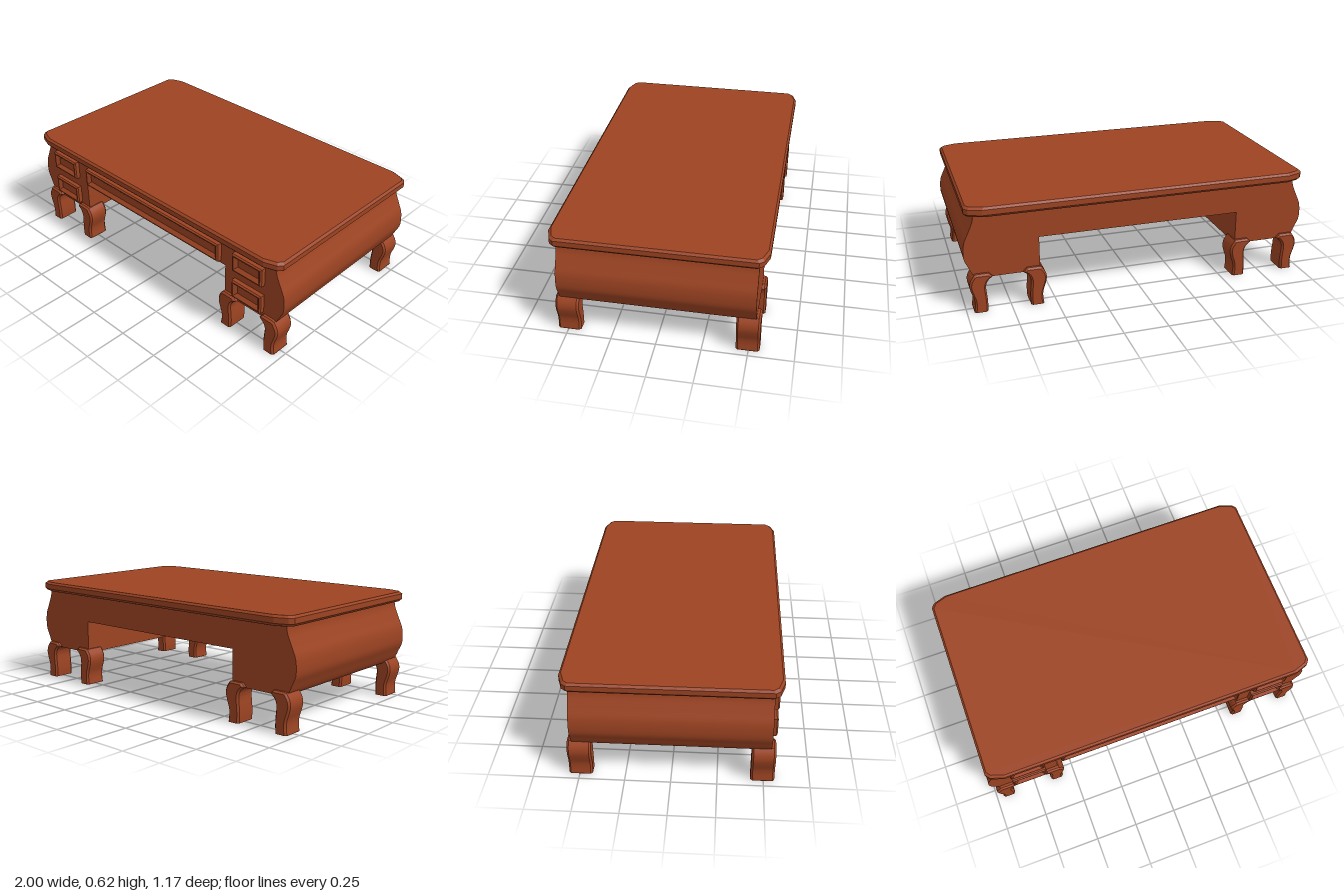
import * as THREE from 'three';
import { toCreasedNormals } from 'three/addons/utils/BufferGeometryUtils.js';

const wood = new THREE.MeshStandardMaterial({ color: 0x9c4322 });
wood.name = 'reddish wood';

// Skin a stack of counter-clockwise rings (seen from the last ring) and cap both ends.
function loft(rings) {
  const pos = [];
  const tri = (a, b, c) => pos.push(...a, ...b, ...c);
  const n = rings[0].length;
  for (let r = 0; r < rings.length - 1; r++) {
    const a = rings[r], b = rings[r + 1];
    for (let i = 0; i < n; i++) {
      const j = (i + 1) % n;
      tri(a[i], a[j], b[j]);
      tri(a[i], b[j], b[i]);
    }
  }
  const first = rings[0], last = rings[rings.length - 1];
  for (let i = 1; i < n - 1; i++) {
    tri(last[0], last[i], last[i + 1]);
    tri(first[0], first[i + 1], first[i]);
  }
  const geo = new THREE.BufferGeometry();
  geo.setAttribute('position', new THREE.Float32BufferAttribute(pos, 3));
  geo.computeVertexNormals();
  return geo;
}

function addPart(group, name, geo, x = 0, y = 0, z = 0) {
  const mesh = new THREE.Mesh(geo, wood);
  mesh.name = name;
  mesh.position.set(x, y, z);
  group.add(mesh);
}

const vectors = (pts) => pts.map(([x, y]) => new THREE.Vector2(x, y));

// Moulded top with clipped corners
function topGeometry() {
  const corner = [[0.89, 0.585], [0.963, 0.56], [0.983, 0.535]];
  const reversed = [...corner].reverse();
  const outline = [
    ...corner,
    ...reversed.map(([x, z]) => [x, -z]),
    ...corner.map(([x, z]) => [-x, -z]),
    ...reversed.map(([x, z]) => [-x, z]),
  ];
  const profile = [[0.035, 0.556], [0.012, 0.562], [0, 0.576], [0, 0.606], [0.012, 0.618]];
  return loft(profile.map(([inset, y]) =>
    outline.map(([x, z]) => [x * (1 - inset / 0.983), y, z * (1 - inset / 0.585)])));
}

// Bombe body: bulging sides and a central kneehole
function bodyGeometry() {
  const side = [[0.935, 0.56], [0.942, 0.52], [0.968, 0.46], [0.993, 0.4],
    [0.997, 0.32], [0.975, 0.265], [0.952, 0.218], [0.93, 0.198]];
  const curve = new THREE.SplineCurve(vectors(side)).getPoints(28);
  const right = [...curve, ...vectors([[0.585, 0.198], [0.585, 0.395]])];
  const left = right.map((p) => new THREE.Vector2(-p.x, p.y)).reverse();
  // The outline runs clockwise; the extrusion turns it round itself
  const geo = new THREE.ExtrudeGeometry(new THREE.Shape([...right, ...left]),
    { depth: 1.07, bevelEnabled: false });
  geo.translate(0, 0, -0.535);
  return toCreasedNormals(geo, 0.5);
}

// Curved leg, bulging towards +x, with bevelled edges and a flat foot
function legGeometry() {
  const outer = [[0.96, 0], [0.954, 0.035], [0.956, 0.075], [0.969, 0.115],
    [0.978, 0.155], [0.971, 0.19], [0.95, 0.222]];
  const inner = [[0.85, 0.204], [0.874, 0.185], [0.887, 0.16], [0.889, 0.13],
    [0.885, 0.09], [0.883, 0.045], [0.885, 0]];
  const shape = new THREE.Shape([
    ...new THREE.SplineCurve(vectors(outer)).getPoints(18),
    ...vectors([[0.935, 0.225], [0.87, 0.225]]),
    ...new THREE.SplineCurve(vectors(inner)).getPoints(18),
  ]);
  const geo = new THREE.ExtrudeGeometry(shape, {
    depth: 0.108, bevelThickness: 0.011, bevelSize: 0.01, bevelOffset: -0.01, bevelSegments: 1,
  });
  geo.translate(-0.92, 0, -0.054);
  const p = geo.attributes.position;
  for (let i = 0; i < p.count; i++) if (p.getY(i) < 0.0105) p.setY(i, 0);
  return toCreasedNormals(geo, 0.5);
}

// Drawer front with a raised rim and a sunken panel
function drawerGeometry(w, h) {
  const profile = [[0, -0.01], [0, 0.024], [0.007, 0.032], [0.013, 0.032], [0.032, 0.014]];
  return loft(profile.map(([inset, z]) => {
    const x = w / 2 - inset, y = h / 2 - inset;
    return [[-x, -y, z], [x, -y, z], [x, y, z], [-x, y, z]];
  }));
}

export function createModel() {
  const desk = new THREE.Group();
  desk.name = 'desk';

  addPart(desk, 'tabletop', topGeometry());
  addPart(desk, 'body', bodyGeometry());

  // Four pairs of legs, each pair splayed about its pedestal
  const leg = legGeometry();
  const turnedLeg = leg.clone().rotateY(Math.PI);
  for (const s of [-1, 1]) {
    for (const z of [-0.495, 0.495]) {
      addPart(desk, 'outerLeg', s > 0 ? leg : turnedLeg, s * 0.92, 0, z);
      addPart(desk, 'innerLeg', s > 0 ? turnedLeg : leg, s * 0.61, 0, z);
    }
  }

  // Drawers
  const small = drawerGeometry(0.208, 0.112);
  for (const s of [-1, 1]) {
    addPart(desk, 'upperDrawer', small, s * 0.76, 0.47, 0.535);
    addPart(desk, 'lowerDrawer', small, s * 0.76, 0.293, 0.535);
  }
  addPart(desk, 'centreDrawer', drawerGeometry(1.11, 0.112), 0, 0.47, 0.535);
  return desk;
}
